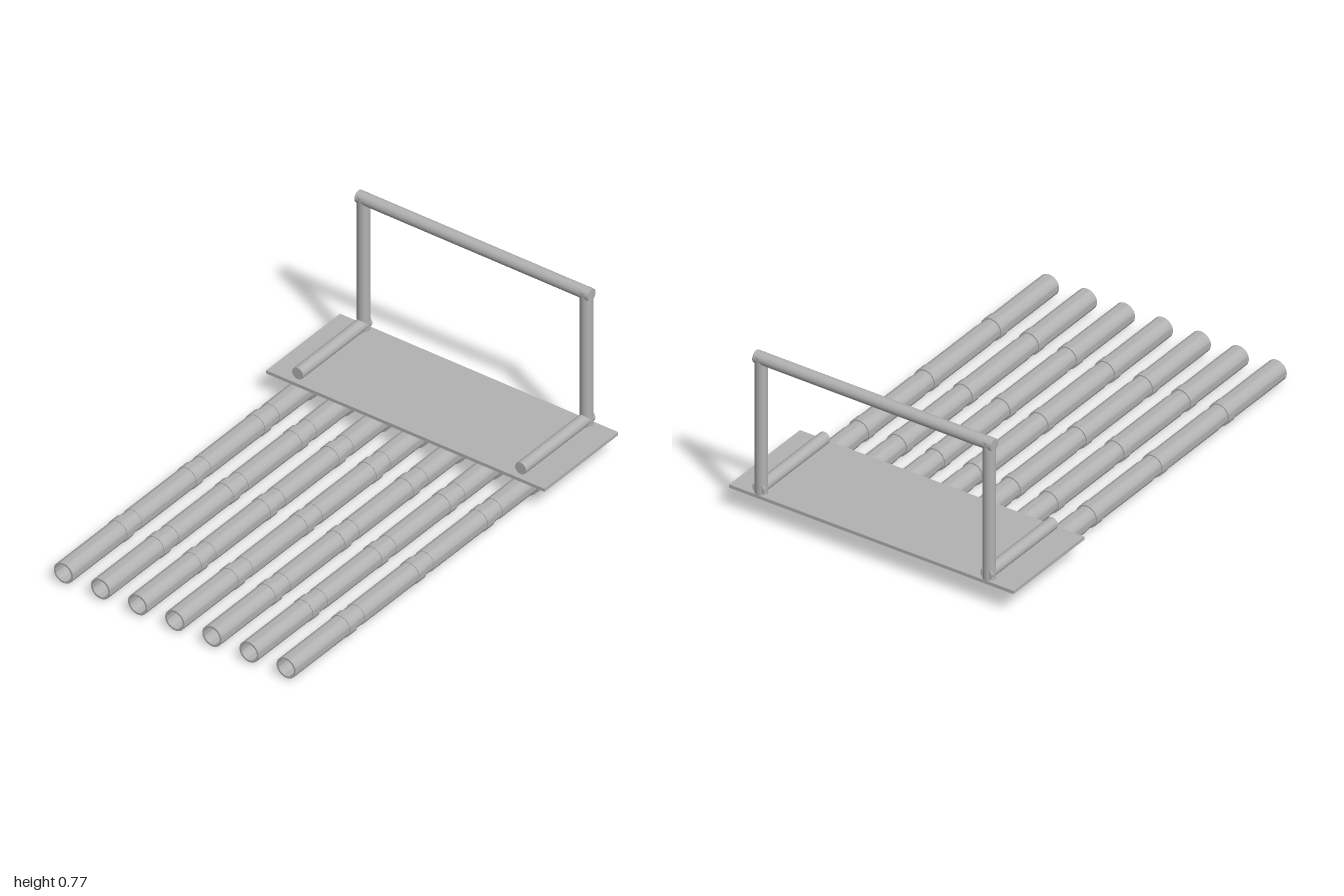
import * as THREE from 'three';
import { toCreasedNormals } from 'three/addons/utils/BufferGeometryUtils.js';

export function createModel() {
  const model = new THREE.Group();
  const grey = new THREE.MeshStandardMaterial({ color: 0xb2b2b2 });
  grey.name = 'light grey';

  function add(parent, name, geometry, x, y, z) {
    const mesh = new THREE.Mesh(geometry, grey);
    mesh.name = name;
    mesh.position.set(x, y, z);
    parent.add(mesh);
    return mesh;
  }

  // Surface of revolution along z from [radius, z] pairs, with crisp steps
  function turned(pairs) {
    const points = pairs.map(([r, z]) => new THREE.Vector2(r, z));
    const geometry = new THREE.LatheGeometry(points, 32);
    geometry.rotateX(Math.PI / 2);
    return toCreasedNormals(geometry, 0.6);
  }

  // Deck plate
  add(model, 'deckPlate', new THREE.BoxGeometry(1.36, 0.015, 0.485), 0, 0.1125, -0.7575);

  // Handle frame: crossbar, two posts and two floor rails
  const frame = new THREE.Group();
  frame.name = 'handleFrame';
  model.add(frame);
  const rod = (length) => new THREE.CylinderGeometry(0.027, 0.027, length, 28);
  add(frame, 'crossbar', rod(1.14).rotateZ(Math.PI / 2), 0, 0.744, -0.973);
  for (const side of [-1, 1]) {
    add(frame, 'post', rod(0.64), side * 0.545, 0.438, -0.973);
    add(frame, 'floorRail', rod(0.455).rotateX(Math.PI / 2), side * 0.545, 0.147, -0.7675);
  }

  // Pipe profile: closed at the back, three grooves and collars, open bore at the front
  const profile = [[0, -0.81], [0.047, -0.81]];
  for (const z of [-0.305, 0.145, 0.6]) {
    profile.push([0.047, z - 0.055], [0.0445, z - 0.055], [0.0445, z],
      [0.05, z], [0.05, z + 0.045], [0.047, z + 0.045]);
  }
  profile.push([0.047, 1], [0.038, 1], [0.038, -0.8], [0, -0.8]);
  const pipeGeometry = turned(profile);

  // Clamp ring and the bracket block joining it to the deck
  const ringGeometry = turned([[0.045, -0.025], [0.053, -0.025], [0.053, 0.025], [0.045, 0.025]]);
  const bracketGeometry = new THREE.BoxGeometry(0.05, 0.06, 0.034);

  for (let i = -3; i <= 3; i++) {
    const unit = new THREE.Group();
    unit.name = 'pipeUnit';
    unit.position.x = i * 0.1815;
    model.add(unit);
    add(unit, 'pipe', pipeGeometry, 0, 0.055, 0);
    for (const z of [-0.605, -0.787]) {
      add(unit, 'clampRing', ringGeometry, 0, 0.053, z);
      add(unit, 'clampBracket', bracketGeometry, 0.06, 0.076, z);
    }
  }
  return model;
}
